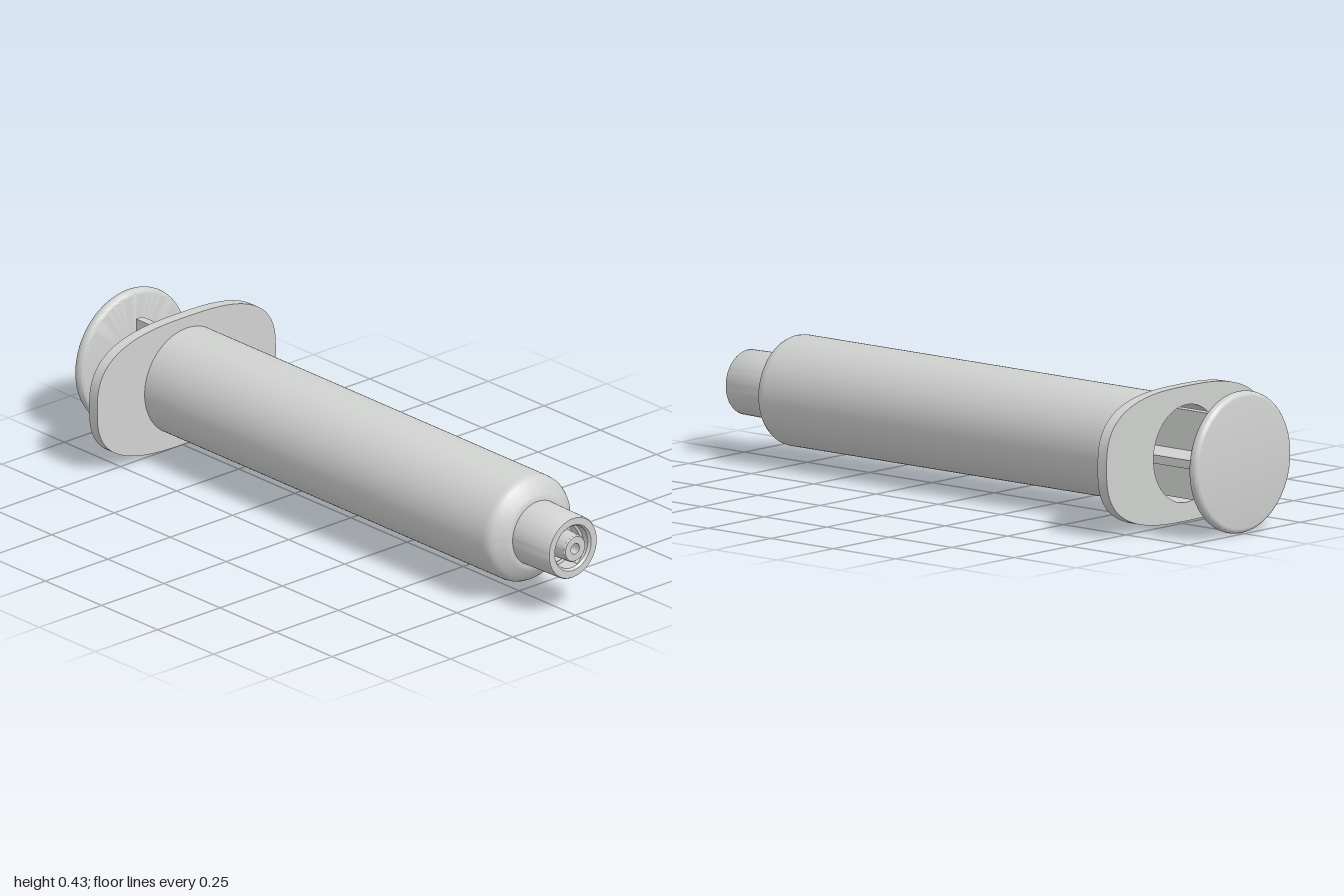
import * as THREE from 'three';
import { toCreasedNormals } from 'three/addons/utils/BufferGeometryUtils.js';

const AXIS_Y = 0.216;

export function createModel() {
  const model = new THREE.Group();
  model.name = 'syringe';
  const body = new THREE.Group();
  body.name = 'syringeBody';
  body.position.y = AXIS_Y;
  model.add(body);

  const plastic = new THREE.MeshStandardMaterial({ color: 0xd0d2d0 });
  plastic.name = 'pale grey plastic';

  function add(name, geometry) {
    const mesh = new THREE.Mesh(geometry, plastic);
    mesh.name = name;
    body.add(mesh);
    return mesh;
  }

  // Turned part along z: profile of [radius, z], outside going towards +z
  function turned(name, profile, segments = 72) {
    const points = profile.map(([r, z]) => new THREE.Vector2(r, z));
    const geometry = new THREE.LatheGeometry(points, segments).rotateX(Math.PI / 2);
    return add(name, toCreasedNormals(geometry, 0.6));
  }

  // Hollow barrel with sloped, softened shoulder
  turned('barrel', [
    [0.168, -0.735], [0.168, 0.775], [0.166, 0.79], [0.16, 0.801], [0.15, 0.81],
    [0.12, 0.829], [0.11, 0.833], [0.016, 0.833], [0.016, 0.815], [0.148, 0.77], [0.148, -0.735],
  ], 96);

  // Finger flange: superellipse plate with a round opening
  const outline = [];
  const power = 2 / 2.8;
  for (let i = 0; i < 128; i++) {
    const a = (i / 128) * Math.PI * 2;
    const c = Math.cos(a), s = Math.sin(a);
    outline.push(new THREE.Vector2(
      0.358 * Math.sign(c) * Math.abs(c) ** power,
      0.205 * Math.sign(s) * Math.abs(s) ** power,
    ));
  }
  const flange = new THREE.Shape(outline);
  const opening = new THREE.Path();
  opening.absarc(0, 0, 0.148, 0, Math.PI * 2, true);
  flange.holes.push(opening);
  const plate = new THREE.ExtrudeGeometry(flange, { depth: 0.036, bevelEnabled: false, curveSegments: 48 });
  plate.translate(0, 0, -0.769);
  add('fingerFlange', toCreasedNormals(plate, 0.6));

  // Locking collar, open at the front
  turned('lockingCollar', [
    [0.101, 0.825], [0.098, 0.985], [0.095, 0.99], [0.073, 0.99],
    [0.067, 0.982], [0.067, 0.845], [0.03, 0.845],
  ]);

  // Two-start thread inside the collar
  for (let start = 0; start < 2; start++) {
    const path = [];
    for (let i = 0; i <= 32; i++) {
      const a = start * Math.PI + (i / 32) * Math.PI * 2 + 1.9;
      path.push(new THREE.Vector3(0.066 * Math.cos(a), 0.066 * Math.sin(a), 0.975 - 0.1 * (i / 32)));
    }
    add('collarThread', new THREE.TubeGeometry(new THREE.CatmullRomCurve3(path), 64, 0.006, 6));
  }

  // Tapered nozzle with a narrow bore
  turned('nozzle', [
    [0.048, 0.84], [0.042, 0.996], [0.039, 1], [0.017, 1], [0.017, 0.82],
  ], 48);

  // Plunger rod: crossed ribs running into the barrel
  const rib = (w, h) => new THREE.BoxGeometry(w, h, 1.54).translate(0, 0, -0.173);
  add('plungerRibVertical', rib(0.026, 0.27));
  add('plungerRibHorizontal', rib(0.27, 0.026));

  // Piston at the inner end of the rod
  turned('piston', [
    [0, 0.58], [0.146, 0.58], [0.146, 0.69], [0.13, 0.7], [0, 0.74],
  ]);

  // Thumb disc with a rounded rim
  const rim = [[0, -1]];
  for (let i = 0; i <= 10; i++) {
    const a = -Math.PI / 2 + (i / 10) * Math.PI;
    rim.push([0.2 + 0.015 * Math.cos(a), -0.982 + 0.018 * Math.sin(a)]);
  }
  rim.push([0, -0.964]);
  turned('thumbDisc', rim, 96);

  return model;
}
